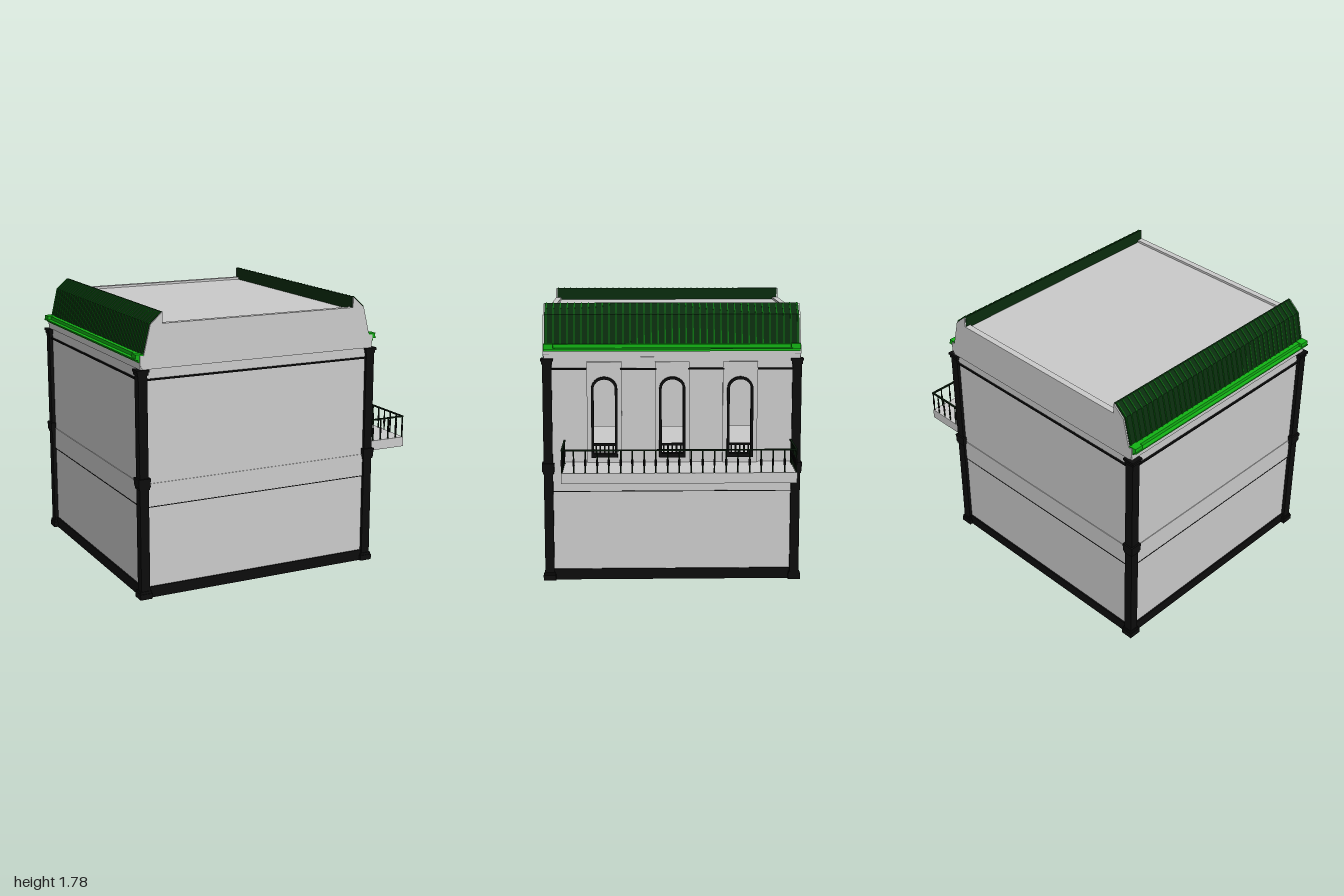
import * as THREE from 'three';

const mat = (color) => new THREE.MeshStandardMaterial({ color, side: THREE.DoubleSide, flatShading: true });

export function createModel() {
  const GREY = mat(0xcccccc), BLACK = mat(0x0c0c0c), DARK = mat(0x0a2c0e),
    RIB = mat(0x0a6a10), GREEN = mat(0x12b414), IRON = mat(0x0a1c0c);
  const model = new THREE.Group();
  model.name = 'building';
  const house = new THREE.Group();
  house.name = 'house';
  house.position.x = -0.16;
  model.add(house);

  const add = (parent, name, geometry, material) => {
    const m = new THREE.Mesh(geometry, material);
    m.name = name;
    parent.add(m);
    return m;
  };
  // Box given by its limits on each axis
  const box = (parent, name, material, x0, x1, y0, y1, z0, z1) => {
    const m = add(parent, name, new THREE.BoxGeometry(x1 - x0, y1 - y0, z1 - z0), material);
    m.position.set((x0 + x1) / 2, (y0 + y1) / 2, (z0 + z1) / 2);
    return m;
  };
  const shapeOf = (points) => new THREE.Shape(points.map(([x, y]) => new THREE.Vector2(x, y)));
  const extrude = (shape, depth) =>
    new THREE.ExtrudeGeometry(shape, { depth, bevelEnabled: false, curveSegments: 8 });
  // Arched outline: half width w, sill y0, springing y1, arch rise
  const arch = (Type, cx, w, y0, y1, rise) => {
    const p = new Type();
    p.moveTo(cx - w, y0);
    p.lineTo(cx + w, y0);
    p.lineTo(cx + w, y1);
    p.absellipse(cx, y1, w, rise, 0, Math.PI, false);
    p.closePath();
    return p;
  };

  // Front and back walls, plinths, storey bands and mouldings
  for (const s of [1, -1]) {
    const wall = (name, m, y0, y1, a, b, w = 0.765) =>
      box(house, name, m, -w, w, y0, y1, Math.min(s * a, s * b), Math.max(s * a, s * b));
    wall('endWall', GREY, 0.07, 1.45, 0.78, 0.8);
    wall('endPlinth', BLACK, 0, 0.07, 0.775, 0.81);
    wall('endBand', GREY, 0.585, 0.73, 0.79, 0.804);
    wall('endBandLine', BLACK, 0.58, 0.585, 0.79, 0.806);
    wall('endMoulding', BLACK, 1.37, 1.38, 0.79, 0.812);
    wall('endFrieze', GREY, 1.385, 1.44, 0.79, 0.806);
  }

  // Side walls; the +x one has windows on its upper storey
  const windows = [-0.43, 0, 0.43];
  for (const s of [1, -1]) {
    const wall = (name, m, y0, y1, a, b, z0 = -0.765, z1 = 0.765) =>
      box(house, name, m, Math.min(s * a, s * b), Math.max(s * a, s * b), y0, y1, z0, z1);
    wall('sideLowerWall', GREY, 0.07, 0.73, 0.78, 0.8);
    wall('sidePlinth', BLACK, 0, 0.07, 0.775, 0.81);
    wall('sideBand', GREY, 0.585, 0.73, 0.79, 0.804);
    wall('sideBandLine', BLACK, 0.58, 0.585, 0.79, 0.806);
    wall('eaveWall', GREY, 1.44, 1.5, 0.78, 0.808, -0.81, 0.81);
    if (s < 0) {
      wall('sideUpperWall', GREY, 0.73, 1.45, 0.78, 0.8);
      wall('sideMoulding', BLACK, 1.37, 1.38, 0.79, 0.812);
    } else {
      for (const [a, b] of [[0.54, 0.765], [0.1, 0.33], [-0.33, -0.1], [-0.765, -0.54]])
        wall('sideMoulding', BLACK, 1.37, 1.38, 0.79, 0.83, a, b);
    }
  }
  const windowWall = shapeOf([[-0.765, 0.73], [0.765, 0.73], [0.765, 1.45], [-0.765, 1.45]]);
  for (const z of windows) windowWall.holes.push(arch(THREE.Path, z, 0.075, 0.82, 1.25, 0.065));
  const upper = add(house, 'windowWall', extrude(windowWall, 0.03), GREY);
  upper.rotation.y = Math.PI / 2;
  upper.position.x = 0.78;

  // Windows: raised surround, black arched frame and low grille
  for (const z of windows) {
    const win = new THREE.Group();
    win.name = 'window';
    win.position.set(0.8, 0, z);
    win.rotation.y = Math.PI / 2;
    house.add(win);
    const surround = shapeOf([[-0.11, 0.775], [0.11, 0.775], [0.11, 1.42], [-0.11, 1.42]]);
    surround.holes.push(arch(THREE.Path, 0, 0.075, 0.82, 1.25, 0.065));
    add(win, 'windowSurround', extrude(surround, 0.026), GREY);
    const frame = arch(THREE.Shape, 0, 0.083, 0.81, 1.25, 0.077);
    frame.holes.push(arch(THREE.Path, 0, 0.067, 0.835, 1.25, 0.06));
    add(win, 'windowFrame', extrude(frame, 0.045), BLACK);
    box(win, 'grilleRail', BLACK, -0.07, 0.07, 0.885, 0.9, 0.02, 0.035);
    for (let i = -2; i <= 2; i++)
      box(win, 'grilleBar', BLACK, i * 0.027 - 0.005, i * 0.027 + 0.005, 0.82, 0.89, 0.02, 0.035);
  }

  // Corner columns with base, middle collar and capital
  const steps = [[0, 0.035, 0.04], [0.035, 0.05, 0.035], [0.05, 0.7, 0.029], [0.7, 0.715, 0.034],
    [0.715, 0.75, 0.038], [0.75, 0.77, 0.04], [0.77, 1.405, 0.029], [1.405, 1.425, 0.034], [1.425, 1.44, 0.04]];
  for (const x of [-0.795, 0.795]) for (const z of [-0.79, 0.79]) {
    const column = new THREE.Group();
    column.name = 'cornerColumn';
    column.position.set(x, 0, z);
    house.add(column);
    for (const [y0, y1, h] of steps) box(column, 'columnPart', BLACK, -h, h, y0, y1, -h, h);
  }

  // Intermediate floor and flat roof deck
  box(house, 'upperFloor', GREY, -0.7, 0.78, 0.725, 0.74, -0.78, 0.78);
  box(house, 'roofDeck', GREY, -0.67, 0.67, 1.68, 1.695, -0.79, 0.79);

  // Gable parapets at front and back
  const half = [[0.79, 1.44], [0.81, 1.47], [0.81, 1.525], [0.785, 1.525], [0.74, 1.708],
    [0.666, 1.775], [0.66, 1.775], [0.66, 1.71]];
  const gable = extrude(shapeOf([...half, ...half.map(([x, y]) => [-x, y]).reverse()]), 0.04);
  for (const z of [0.775, -0.815]) add(house, 'gableParapet', gable, GREY).position.z = z;

  // Steep green side roofs with ribs, gutter and corner blocks
  const slope = [[0.787, 1.525], [0.743, 1.711], [0.667, 1.778]];
  const roofProfile = shapeOf([...slope, [0.657, 1.778], [0.657, 1.68], [0.7, 1.525]]);
  const ribProfile = shapeOf([...slope.map(([x, y]) => [x + 0.005, y + 0.002]), ...[...slope].reverse()]);
  const roofGeo = extrude(roofProfile, 1.612), ribGeo = extrude(ribProfile, 0.007);
  for (const turn of [0, Math.PI]) {
    const side = new THREE.Group();
    side.name = 'sideRoof';
    side.rotation.y = turn;
    house.add(side);
    add(side, 'roofSlope', roofGeo, DARK).position.z = -0.806;
    for (let i = 0; i <= 36; i++) add(side, 'roofRib', ribGeo, RIB).position.z = -0.8 + i * 0.0442;
    box(side, 'gutterPlate', GREEN, 0.78, 0.84, 1.5, 1.508, -0.81, 0.81);
    box(side, 'gutterLower', GREEN, 0.78, 0.82, 1.485, 1.5, -0.81, 0.81);
    box(side, 'gutterUpper', GREEN, 0.77, 0.814, 1.508, 1.53, -0.81, 0.81);
    for (const z of [-0.78, 0.78])
      box(side, 'gutterBlock', GREEN, 0.785, 0.835, 1.505, 1.533, z - 0.03, z + 0.03);
  }

  // Balcony slab with iron railing on three sides
  const balcony = new THREE.Group();
  balcony.name = 'balcony';
  model.add(balcony);
  box(balcony, 'balconySlab', GREY, 0.64, 1, 0.71, 0.775, -0.76, 0.69);
  const post = new THREE.CylinderGeometry(0.0045, 0.0045, 0.14, 6);
  const knob = new THREE.CylinderGeometry(0.007, 0.007, 0.04, 6);
  const baluster = (x, z) => {
    add(balcony, 'baluster', post, IRON).position.set(x, 0.845, z);
    add(balcony, 'balusterKnob', knob, BLACK).position.set(x, 0.84, z);
  };
  box(balcony, 'frontRail', IRON, 0.986, 0.998, 0.913, 0.922, -0.76, 0.69);
  for (let i = 0; i <= 20; i++) baluster(0.992, -0.754 + i * 0.0719);
  for (const z of [-0.754, 0.684]) {
    box(balcony, 'sideRail', IRON, 0.67, 0.998, 0.913, 0.922, z - 0.006, z + 0.006);
    for (let i = 0; i < 5; i++) baluster(0.7 + i * 0.06, z);
  }
  return model;
}
